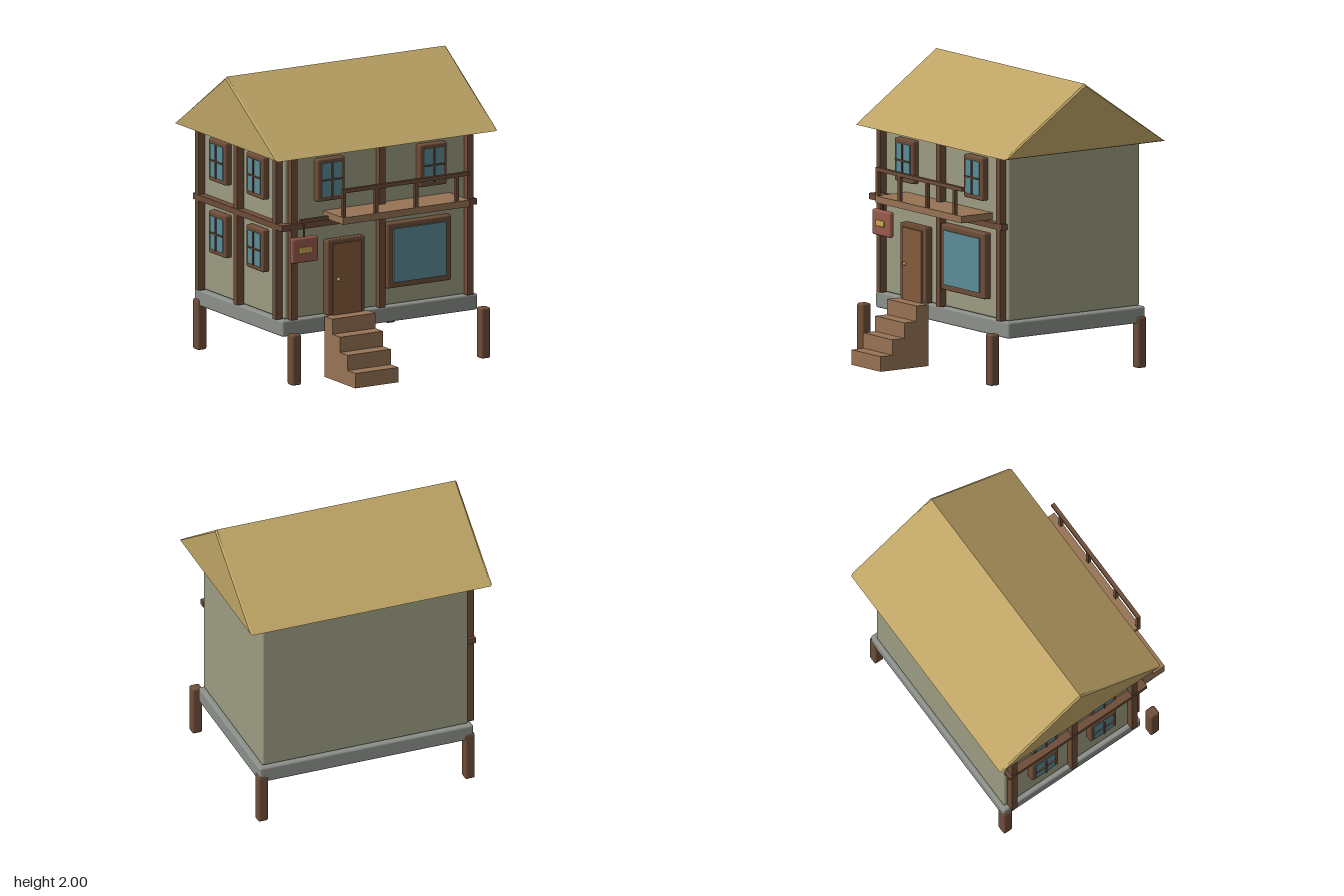
import * as THREE from 'three';
import { RoundedBoxGeometry } from 'three/addons/geometries/RoundedBoxGeometry.js';

const mat = (color) => new THREE.MeshStandardMaterial({ color });

export function createModel() {
  const house = new THREE.Group();
  house.name = 'house';
  const plaster = mat(0x9c9c82), timber = mat(0x6e4d38), plank = mat(0x977355);
  const glass = mat(0x5b8b98), stone = mat(0x8b8f89), thatch = mat(0xbca264);
  const doorWood = mat(0x835b3b), signRed = mat(0x985a4b), gold = mat(0xc8a650);

  // Box given by its limits; an optional bevel softens the edges
  const box = (parent, name, material, [x0, x1], [y0, y1], [z0, z1], bevel = 0) => {
    const size = [x1 - x0, y1 - y0, z1 - z0];
    const geometry = bevel ? new RoundedBoxGeometry(...size, 2, bevel) : new THREE.BoxGeometry(...size);
    const mesh = new THREE.Mesh(geometry, material);
    mesh.name = name;
    mesh.position.set((x0 + x1) / 2, (y0 + y1) / 2, (z0 + z1) / 2);
    parent.add(mesh);
    return mesh;
  };
  const around = (c, width) => [c - width / 2, c + width / 2];

  // Body and base
  box(house, 'walls', plaster, [-0.742, 0.742], [0.42, 1.545], [-0.7, 0.385], 0.015);
  box(house, 'foundation', stone, [-0.77, 0.77], [0.305, 0.417], [-0.725, 0.405], 0.015);

  // Gable roof, closed underneath
  const bevel = 0.012, width = 1.74;
  const gable = new THREE.Shape();
  gable.moveTo(-0.5, 1.545);
  gable.lineTo(0.82, 1.545);
  gable.lineTo(0.16, 2.0);
  gable.closePath();
  const roofGeometry = new THREE.ExtrudeGeometry(gable, {
    depth: width - 2 * bevel, bevelThickness: bevel, bevelSize: bevel, bevelOffset: -bevel, bevelSegments: 1,
  });
  roofGeometry.translate(0, 0, -width / 2 + bevel).rotateY(Math.PI / 2);
  const roof = new THREE.Mesh(roofGeometry, thatch);
  roof.name = 'roof';
  house.add(roof);

  // Corner stilts
  for (const x of [-0.745, 0.745]) {
    for (const z of [-0.693, 0.517]) {
      box(house, 'stilt', timber, around(x, 0.072), [0, 0.35], around(z, 0.072), 0.014);
    }
  }

  // Entrance steps
  for (let i = 0; i < 4; i++) {
    const z = 0.728 - i * 0.098;
    box(house, 'step', plank, [-0.455, -0.115], [0, 0.105 * (i + 1) - 0.002], [z, z + 0.098]);
  }

  // Small window: built facing +z with its back at z = 0
  const addWindow = (parent, x, y) => {
    const win = new THREE.Group();
    win.name = 'window';
    win.position.set(x, y, 0);
    box(win, 'windowFrame', timber, [-0.108, 0.108], [-0.147, 0.147], [-0.005, 0.05], 0.012);
    box(win, 'windowPane', glass, [-0.08, 0.08], [-0.115, 0.115], [0, 0.056]);
    box(win, 'windowUpright', timber, [-0.005, 0.005], [-0.115, 0.115], [0, 0.065]);
    box(win, 'windowCrossbar', timber, [-0.08, 0.08], [-0.005, 0.005], [0, 0.065]);
    parent.add(win);
  };

  // Front wall, measured from the plaster surface
  const front = new THREE.Group();
  front.name = 'frontWallTrim';
  front.position.z = 0.385;
  house.add(front);
  for (const x of [-0.693, 0, 0.693]) {
    box(front, 'frontPost', timber, around(x, 0.044), [0.42, 1.545], [0, 0.05]);
  }
  box(front, 'frontBeam', timber, [-0.795, 0.74], [1.042, 1.083], [0.005, 0.055]);
  for (const x of [-0.402, 0.402]) addWindow(front, x, 1.357);
  box(front, 'shopWindowFrame', timber, [0.035, 0.542], [0.545, 0.995], [-0.005, 0.055], 0.012);
  box(front, 'shopWindowPane', glass, [0.08, 0.495], [0.585, 0.955], [0, 0.066]);

  // Door
  box(front, 'doorFrame', timber, [-0.433, -0.14], [0.42, 0.937], [-0.005, 0.055], 0.008);
  box(front, 'door', doorWood, [-0.397, -0.175], [0.42, 0.91], [0, 0.066]);
  const knob = new THREE.Mesh(new THREE.SphereGeometry(0.013, 12, 8), gold);
  knob.name = 'doorKnob';
  knob.position.set(-0.358, 0.665, 0.073);
  front.add(knob);

  // Side wall on the model's right, turned to face -x
  const side = new THREE.Group();
  side.name = 'sideWallTrim';
  side.position.set(-0.742, 0, -0.157);
  side.rotation.y = -Math.PI / 2;
  house.add(side);
  for (const x of [-0.495, 0, 0.495]) {
    box(side, 'sidePost', timber, around(x, 0.044), [0.42, 1.545], [0, 0.052]);
  }
  box(side, 'sideBeam', timber, [-0.54, 0.56], [1.042, 1.083], [0, 0.055]);
  for (const x of [-0.24, 0.24]) {
    for (const y of [0.857, 1.357]) addWindow(side, x, y);
  }

  // Balcony with railing
  const balcony = new THREE.Group();
  balcony.name = 'balcony';
  house.add(balcony);
  box(balcony, 'balconyFloor', plank, [-0.437, 0.56], [1.088, 1.135], [0.385, 0.64]);
  box(balcony, 'handrail', timber, [-0.437, 0.56], [1.303, 1.33], [0.613, 0.64]);
  for (const x of [-0.425, -0.17, 0.145, 0.465]) {
    box(balcony, 'baluster', timber, around(x, 0.024), [1.135, 1.303], [0.615, 0.638]);
  }

  // Hanging sign
  const sign = new THREE.Group();
  sign.name = 'hangingSign';
  house.add(sign);
  box(sign, 'signArm', timber, [-0.655, -0.42], [1.086, 1.11], [0.43, 0.455]);
  box(sign, 'signRod', timber, around(-0.625, 0.01), [0.98, 1.09], around(0.445, 0.01));
  box(sign, 'signBoard', signRed, [-0.73, -0.52], [0.815, 0.99], [0.425, 0.465], 0.015);
  box(sign, 'signPlate', gold, [-0.675, -0.577], [0.88, 0.922], [0.455, 0.473], 0.006);

  return house;
}
